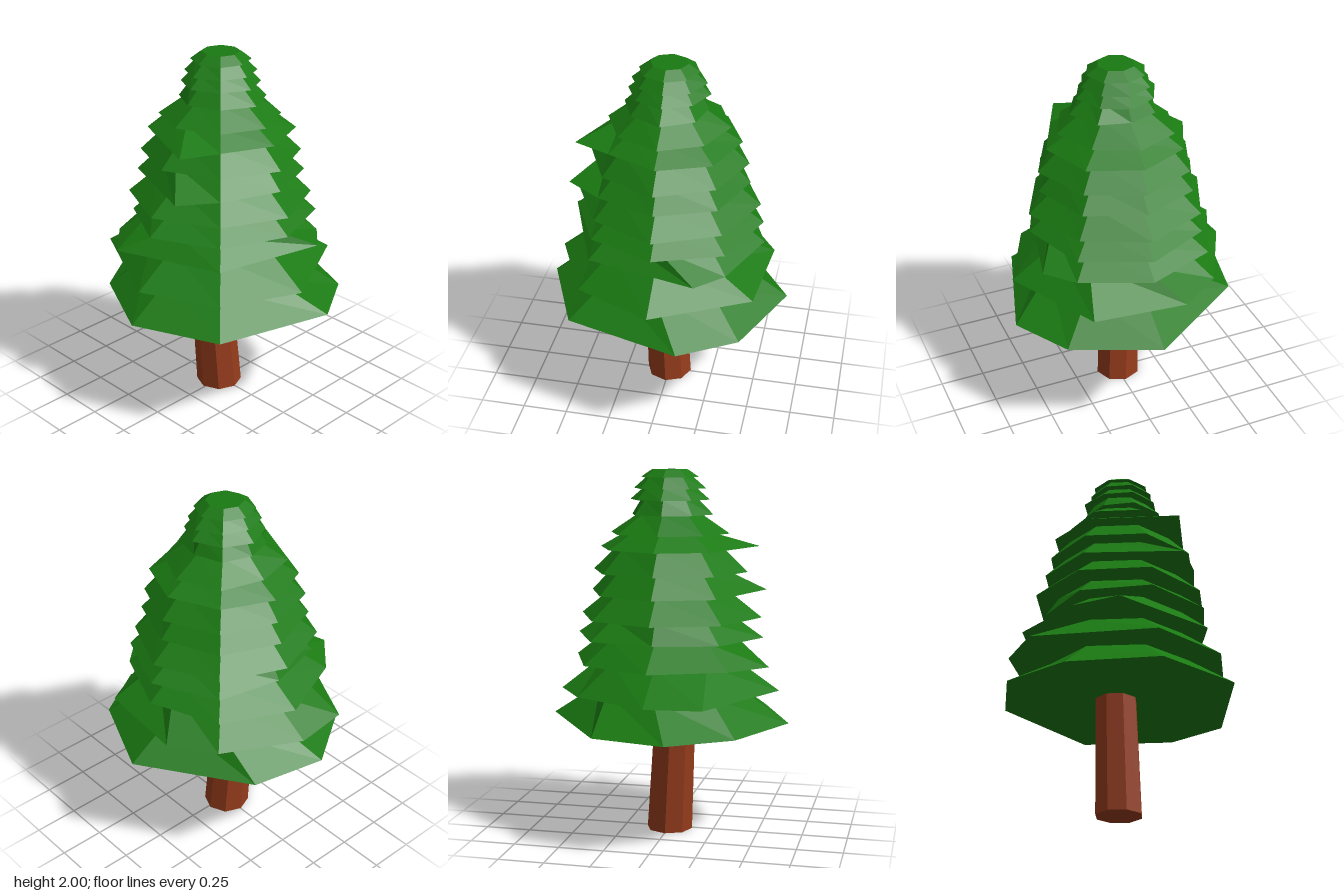
import * as THREE from 'three';

const SIDES = 8;

// Each tier: base height, inner top radius, rim radii (from +x towards +z),
// and the rim corners that are swung sideways (corner index: degrees).
const TIERS = [
  [0.63, 0.40, [0.675, 0.66, 0.665, 0.63, 0.67, 0.64, 0.67, 0.665], { 0: -14, 4: -10, 5: -18 }],
  [0.81, 0.37, [0.61, 0.59, 0.61, 0.67, 0.63, 0.58, 0.595, 0.62], { 3: 18, 6: -17, 7: -12 }],
  [0.975, 0.37, [0.56, 0.52, 0.615, 0.56, 0.56, 0.54, 0.53, 0.53], { 0: -24, 2: 19 }],
  [1.10, 0.36, [0.50, 0.50, 0.52, 0.48, 0.43, 0.50, 0.52, 0.52], {}],
  [1.21, 0.34, [0.50, 0.48, 0.51, 0.50, 0.49, 0.49, 0.50, 0.49], {}],
  [1.34, 0.33, [0.44, 0.45, 0.54, 0.45, 0.44, 0.44, 0.44, 0.45], { 2: -20 }],
  [1.455, 0.30, [0.44, 0.42, 0.43, 0.43, 0.41, 0.42, 0.43, 0.43], {}],
  [1.58, 0.25, [0.39, 0.38, 0.50, 0.39, 0.39, 0.38, 0.39, 0.40], { 2: -21 }],
  [1.66, 0.18, [0.33, 0.32, 0.33, 0.33, 0.30, 0.33, 0.33, 0.32], {}],
  [1.76, 0.16, [0.26, 0.24, 0.24, 0.22, 0.21, 0.22, 0.21, 0.24], {}],
  [1.84, 0.15, [0.22, 0.21, 0.22, 0.21, 0.22, 0.21, 0.22, 0.21], {}],
  [1.90, 0.13, [0.19, 0.19, 0.20, 0.19, 0.18, 0.19, 0.20, 0.19], {}],
  [1.96, 0.10, [0.16, 0.16, 0.16, 0.16, 0.16, 0.16, 0.16, 0.16], {}],
];
const TOP = 2;

// Closed, flat-shaded solid between two rings of corners.
function ringSolid(lower, upper) {
  const pos = [];
  const tri = (...pts) => pts.forEach((p) => pos.push(p.x, p.y, p.z));
  const centre = (ring) => ring.reduce((s, p) => s.add(p), new THREE.Vector3()).divideScalar(SIDES);
  const cLow = centre(lower);
  const cUp = centre(upper);
  for (let i = 0; i < SIDES; i++) {
    const j = (i + 1) % SIDES;
    tri(lower[i], upper[i], upper[j]);
    tri(lower[i], upper[j], lower[j]);
    tri(cLow, lower[i], lower[j]);
    tri(cUp, upper[j], upper[i]);
  }
  const geo = new THREE.BufferGeometry();
  geo.setAttribute('position', new THREE.Float32BufferAttribute(pos, 3));
  geo.computeVertexNormals();
  return geo;
}

// Ring of corners; radius and swing may differ per corner.
function ring(y, radius, swing = {}, cx = 0, cz = 0) {
  return Array.from({ length: SIDES }, (_, i) => {
    const a = THREE.MathUtils.degToRad((i * 360) / SIDES + (swing[i] ?? 0));
    const r = Array.isArray(radius) ? radius[i] : radius;
    return new THREE.Vector3(cx + Math.cos(a) * r, y, cz + Math.sin(a) * r);
  });
}

export function createModel() {
  const tree = new THREE.Group();
  tree.name = 'pineTree';
  const green = new THREE.MeshStandardMaterial({ color: 0x1a7a12, flatShading: true });
  const brown = new THREE.MeshStandardMaterial({ color: 0x963c1c, flatShading: true });

  // Slightly leaning trunk
  const trunk = new THREE.Mesh(
    ringSolid(ring(0, 0.128, {}, -0.0125, 0.0025), ring(0.64, 0.115, {}, -0.04, 0.0375)),
    brown
  );
  trunk.name = 'trunk';
  tree.add(trunk);

  // Stacked skirts of foliage, each reaching up to the base of the next
  const foliage = new THREE.Group();
  foliage.name = 'foliage';
  TIERS.forEach(([y, inner, radii, swing], i) => {
    const yTop = i + 1 < TIERS.length ? TIERS[i + 1][0] : TOP;
    const tier = new THREE.Mesh(ringSolid(ring(y, radii, swing), ring(yTop, inner)), green);
    tier.name = `foliageTier${i + 1}`;
    foliage.add(tier);
  });
  tree.add(foliage);
  return tree;
}
